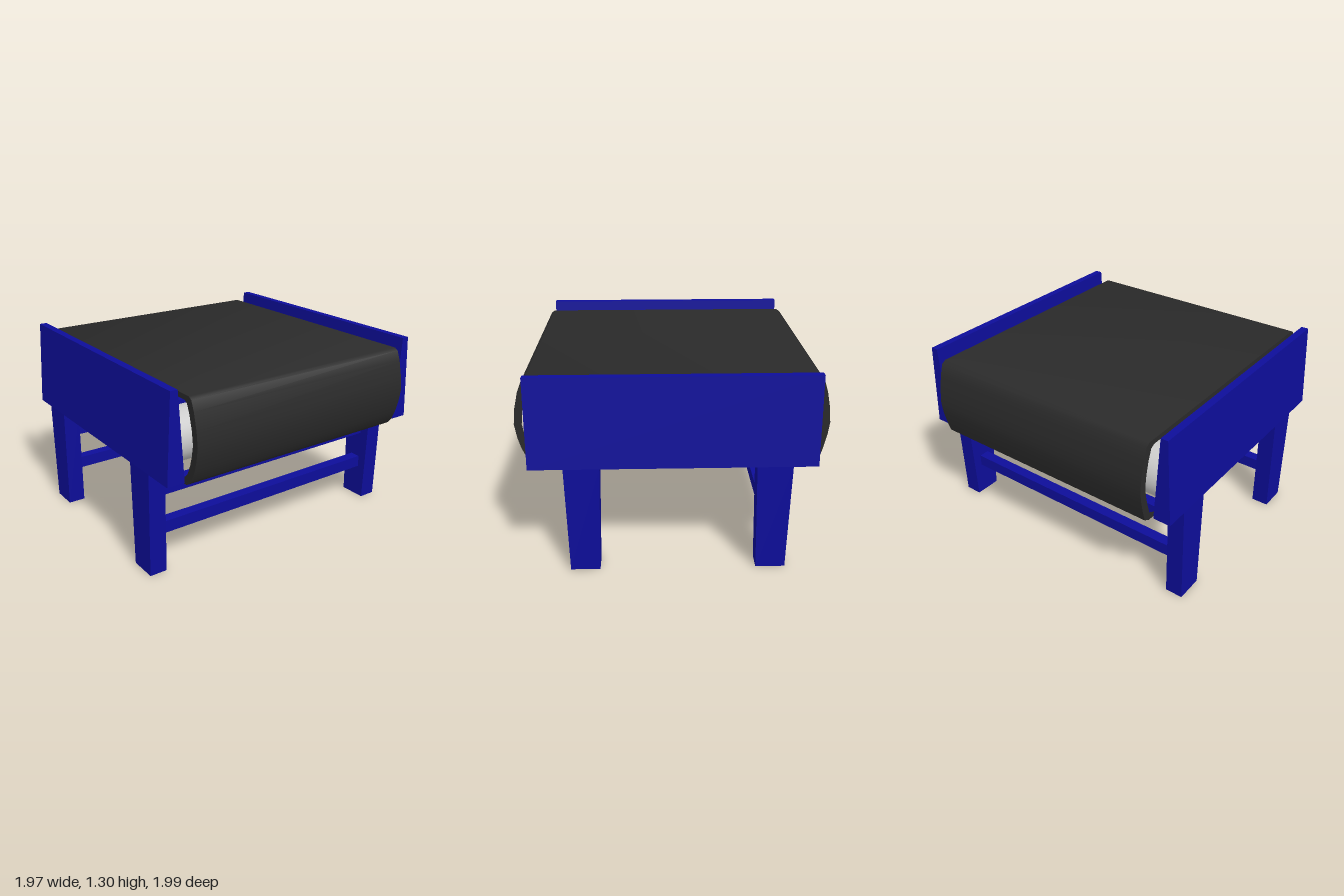
import * as THREE from 'three';
import { toCreasedNormals } from 'three/addons/utils/BufferGeometryUtils.js';

const blue = new THREE.MeshStandardMaterial({ color: 0x0d0d99 });
const black = new THREE.MeshStandardMaterial({ color: 0x2a2a2a });
const grey = new THREE.MeshStandardMaterial({ color: 0xcccccc });
const underside = new THREE.MeshStandardMaterial({ color: 0x888888 });

// Box faces: +x, -x, top, bottom, front, back
const paintedFrame = [blue, blue, blue, underside, blue, blue];

// Box standing between two heights, with its own size at bottom and top
function taperedBox(y0, y1, [bottomW, bottomD], [topW, topD]) {
  const geometry = new THREE.BoxGeometry(1, 1, 1);
  const p = geometry.attributes.position;
  for (let i = 0; i < p.count; i++) {
    const top = p.getY(i) > 0;
    p.setXYZ(i, p.getX(i) * (top ? topW : bottomW), top ? y1 : y0, p.getZ(i) * (top ? topD : bottomD));
  }
  geometry.computeVertexNormals();
  return geometry;
}

export function createModel() {
  const model = new THREE.Group();
  model.name = 'conveyor';
  const add = (name, geometry, material, x, y, z) => {
    const mesh = new THREE.Mesh(geometry, material);
    mesh.name = name;
    mesh.position.set(x, y, z);
    model.add(mesh);
    return mesh;
  };

  // Belt: a closed loop with bulging ends, hollow inside
  const outline = [
    [0.9, 1.25], [0.925, 1.235], [0.95, 1.17], [0.975, 1.06], [0.985, 0.96], [0.97, 0.87],
    [0.95, 0.8], [0.92, 0.73], [0.895, 0.7], [0.86, 0.68],
    [-0.89, 0.685], [-0.935, 0.71], [-0.955, 0.78], [-0.975, 0.87], [-0.985, 0.95],
    [-0.975, 1.05], [-0.955, 1.15], [-0.93, 1.23], [-0.9, 1.25],
  ].map(([x, y]) => new THREE.Vector2(x, y));
  const beltShape = new THREE.Shape(outline);
  const inner = outline.map(({ x, y }) => new THREE.Vector2(x * 0.95, 0.965 + (y - 0.965) * 0.88));
  beltShape.holes.push(new THREE.Path(inner));
  const belt = new THREE.ExtrudeGeometry(beltShape, { depth: 1.68, bevelEnabled: false });
  add('belt', toCreasedNormals(belt, 0.7), black, 0, 0, -0.84);

  // Rollers inside both ends of the belt
  const roller = new THREE.CylinderGeometry(0.165, 0.165, 1.79, 32);
  for (const x of [-0.735, 0.735]) {
    add(x > 0 ? 'leftRoller' : 'rightRoller', roller, grey, x, 0.965, 0).rotation.x = Math.PI / 2;
  }

  // Side panels, thinner toward the top, each on two legs
  const panel = taperedBox(0.72, 1.305, [1.8, 0.12], [1.8, 0.05]);
  const leg = taperedBox(0, 0.72, [0.19, 0.12], [0.225, 0.115]);
  const legX = [-0.63, 0.57];
  for (const z of [-0.937, 0.937]) {
    const end = z > 0 ? 'front' : 'back';
    add(end + 'Panel', panel, paintedFrame, 0, 0, z);
    for (const x of legX) {
      add(end + (x > 0 ? 'LeftLeg' : 'RightLeg'), leg, paintedFrame, x, 0, z);
    }
  }

  // Two cross rails between each front and back leg
  const rail = new THREE.BoxGeometry(0.075, 0.083, 1.78);
  for (const x of legX) {
    for (const y of [0.277, 0.55]) {
      add((y > 0.4 ? 'upper' : 'lower') + (x > 0 ? 'LeftRail' : 'RightRail'), rail, blue, x, y, 0);
    }
  }
  return model;
}
